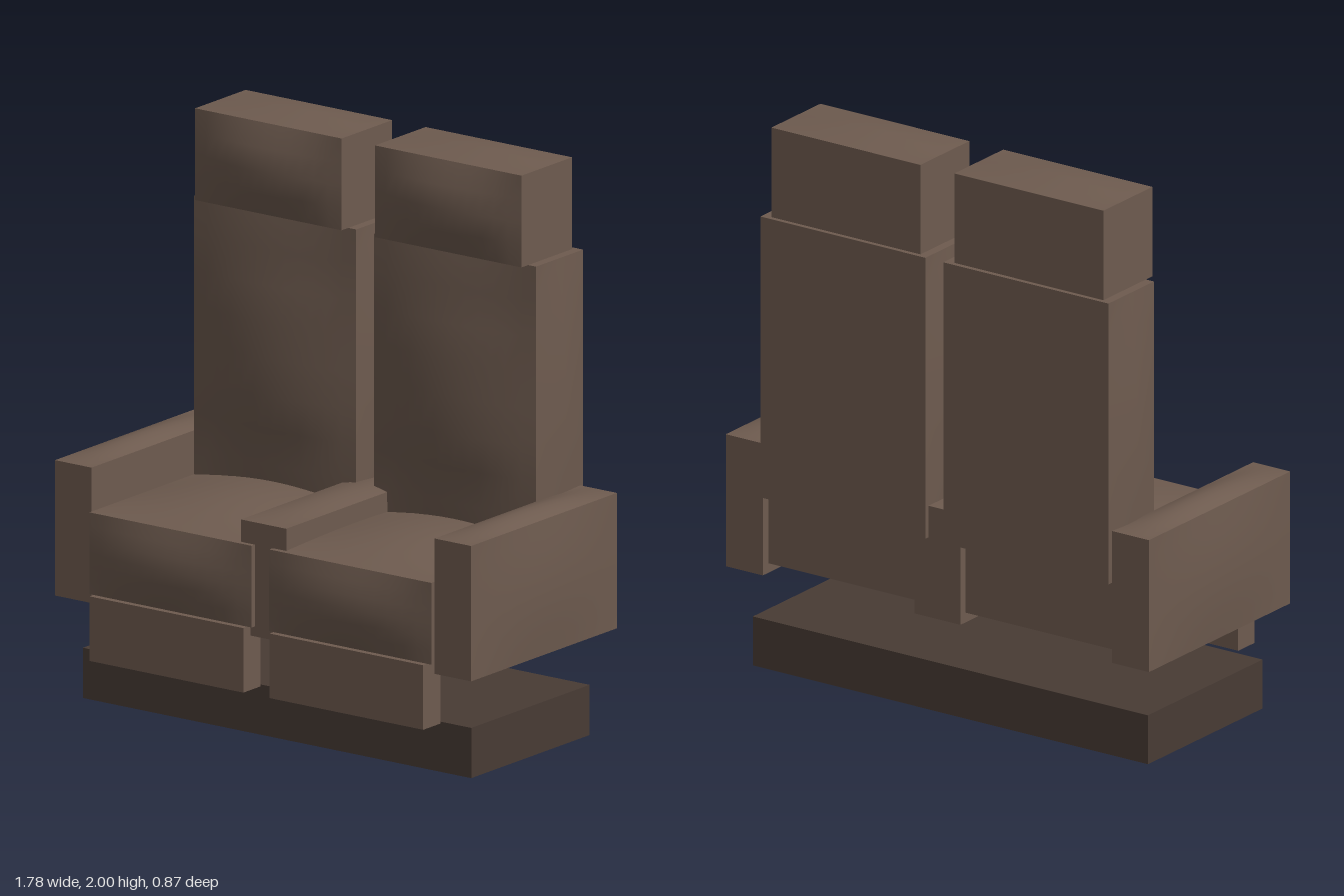
import * as THREE from 'three';

const upholstery = new THREE.MeshStandardMaterial({ color: 0x6e5b4f });
upholstery.name = 'brownUpholstery';
const plinth = new THREE.MeshStandardMaterial({ color: 0x483b34 });
plinth.name = 'darkPlinth';

const hump = (v, lo, hi) => Math.max(0, Math.sin(Math.PI * (v - lo) / (hi - lo)));

// Box between two corners whose faces can swell outward; corners and edges stay put.
// puff: { px, nx, py, pz } gives the swell of each face, a number or a function of y.
function cushion(name, [x0, x1], [y0, y1], [z0, z1], puff = {}, seg = [1, 1, 1], material = upholstery) {
  const g = new THREE.BoxGeometry(x1 - x0, y1 - y0, z1 - z0, ...seg);
  g.translate((x0 + x1) / 2, (y0 + y1) / 2, (z0 + z1) / 2);
  const p = g.attributes.position, n = g.attributes.normal;
  for (let i = 0; i < p.count; i++) {
    const x = p.getX(i), y = p.getY(i), z = p.getZ(i);
    const hx = hump(x, x0, x1), hy = hump(y, y0, y1), hz = hump(z, z0, z1);
    if (n.getX(i) > 0.5) p.setX(i, x + (puff.px || 0) * hy * hz);
    else if (n.getX(i) < -0.5) p.setX(i, x - (puff.nx || 0) * hy * hz);
    else if (n.getY(i) > 0.5) p.setY(i, y + (puff.py || 0) * hx * hz);
    else if (n.getZ(i) > 0.5) {
      const swell = typeof puff.pz === 'function' ? puff.pz((y - y0) / (y1 - y0)) * hx : (puff.pz || 0) * hx * hy;
      p.setZ(i, z + swell);
    }
  }
  g.computeVertexNormals();
  const mesh = new THREE.Mesh(g, material);
  mesh.name = name;
  return mesh;
}

// Padding depth up the backrest: lumbar and shoulder rolls
const rolls = [0, 0.012, 0.02, 0.053, 0.035, 0.05, 0.025, 0.02, 0];
const backPadding = t => rolls[Math.round(t * 8)];

export function createModel() {
  const model = new THREE.Group();
  model.name = 'twinRecliner';

  model.add(cushion('basePlinth', [-0.815, 0.815], [0, 0.175], [-0.345, 0.315], {}, [1, 1, 1], plinth));

  // Two matching seats
  for (const side of [-1, 1]) {
    const seat = new THREE.Group();
    seat.name = side > 0 ? 'leftSeat' : 'rightSeat';
    const span = (a, b) => side > 0 ? [a, b] : [-b, -a];
    seat.add(
      cushion('footrest', span(0.055, 0.7), [0.175, 0.4], [0.335, 0.43]),
      cushion('seatCushion', span(0.037, 0.718), [0.4, 0.685], [-0.39, 0.408], { py: 0.045, pz: 0.028 }, [12, 6, 8]),
      cushion('backrest', span(0.037, 0.718), [0.65, 1.655], [-0.437, -0.175],
        { px: 0.027, nx: 0.027, pz: backPadding }, [12, 8, 2]),
      cushion('headrest', span(0.07, 0.685), [1.655, 1.975], [-0.42, -0.138], { py: 0.025, pz: 0.045 }, [12, 4, 2]),
      // Outer armrest, swollen on its top and outer side
      cushion('outerArmrest', span(0.72, 0.873), [0.365, 0.837], [-0.42, 0.393],
        { py: 0.022, [side > 0 ? 'px' : 'nx']: 0.015 }, [6, 8, 10])
    );
    model.add(seat);
  }

  // Shared armrest between the seats
  model.add(cushion('centreArmrest', [-0.095, 0.095], [0.365, 0.763], [-0.42, 0.39], { py: 0.017 }, [6, 1, 8]));
  return model;
}
